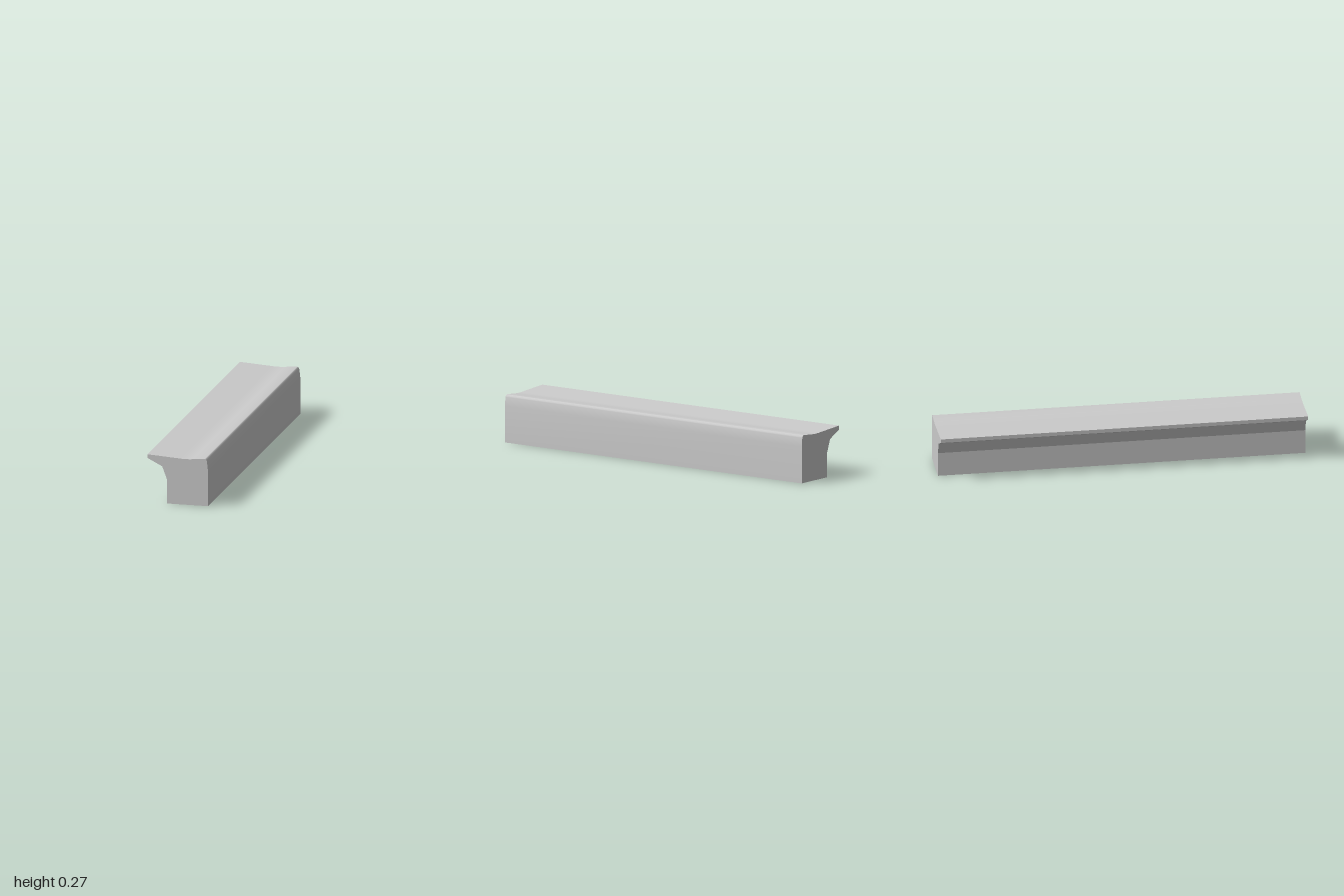
import * as THREE from 'three';
import { toCreasedNormals } from 'three/addons/utils/BufferGeometryUtils.js';

export function createModel() {
  const group = new THREE.Group();
  const length = 2;

  // Cross-section of the rail: square body, thin lip on the right, dished top
  const profile = new THREE.Shape();
  profile.moveTo(-0.061, 0);
  profile.lineTo(0.167, 0);
  profile.lineTo(0.167, 0.2);
  profile.lineTo(0.1625, 0.242);
  // rounded top edge
  profile.bezierCurveTo(0.161, 0.254, 0.156, 0.262, 0.148, 0.262);
  // shallow hollow along the top
  profile.lineTo(0.082, 0.256);
  profile.quadraticCurveTo(0.045, 0.252, 0, 0.256);
  profile.lineTo(-0.168, 0.267);
  // lip and its chamfered underside
  profile.lineTo(-0.168, 0.246);
  profile.lineTo(-0.087, 0.205);
  profile.lineTo(-0.061, 0.135);
  profile.closePath();

  const geometry = new THREE.ExtrudeGeometry(profile, {
    depth: length,
    bevelEnabled: false,
    curveSegments: 6,
  });
  geometry.translate(0, 0, -length / 2);

  const rail = new THREE.Mesh(
    toCreasedNormals(geometry, Math.PI / 9.5),
    new THREE.MeshStandardMaterial({ color: 0xcccccc })
  );
  rail.name = 'lippedRail';
  group.add(rail);
  return group;
}
